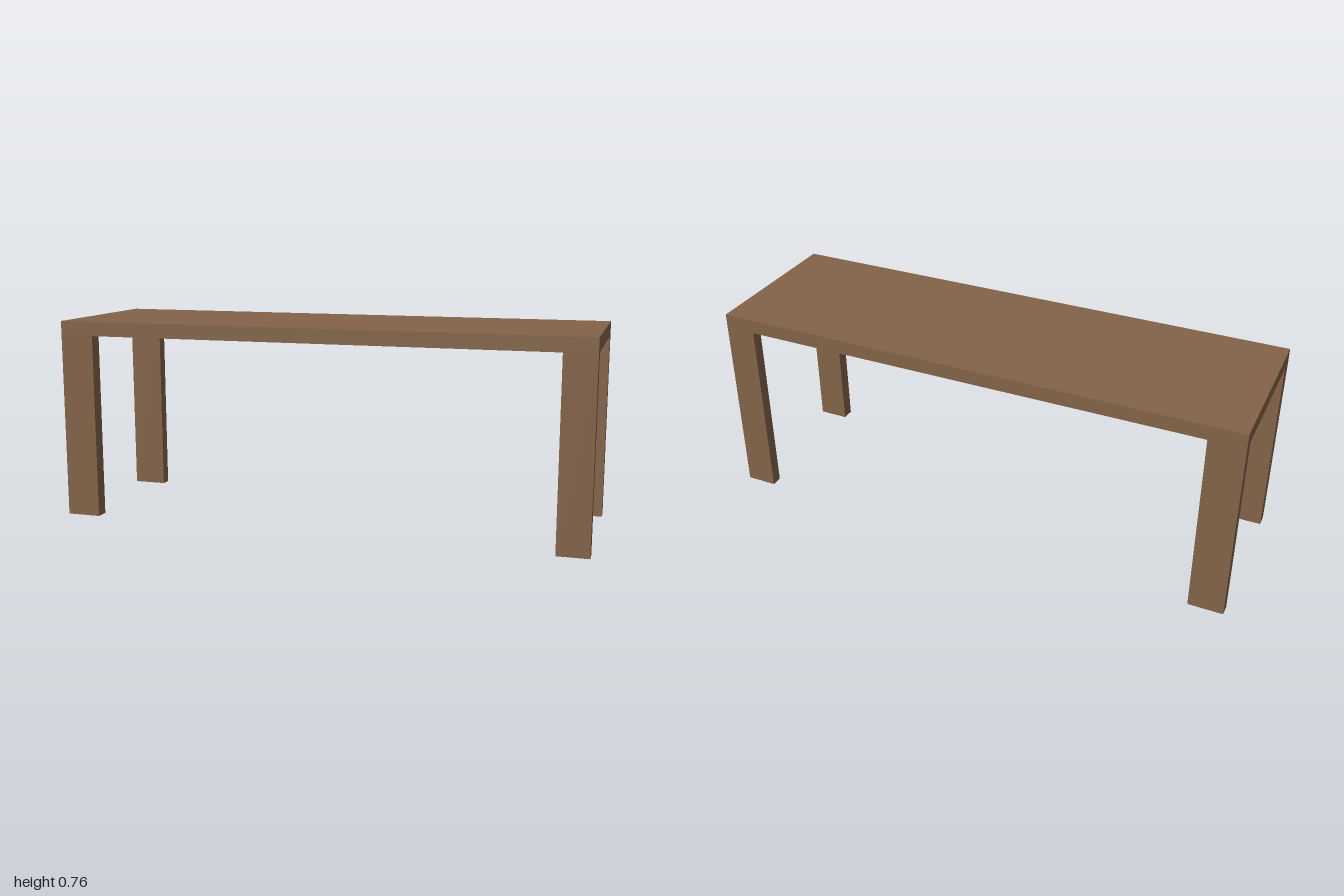
import * as THREE from 'three';

const HALF_X = 1, HALF_Z = 0.306, UNDERSIDE = 0.702, TOP = 0.756;

// Hollow leg: a box without its top and bottom faces
function legGeometry(w, h, d) {
  const geo = new THREE.BoxGeometry(w, h, d);
  const index = Array.from(geo.index.array);
  index.splice(12, 12);
  geo.setIndex(index);
  geo.clearGroups();
  return geo;
}

export function createModel() {
  const model = new THREE.Group();
  model.name = 'table';
  const wood = new THREE.MeshStandardMaterial({ color: 0x836348, side: THREE.DoubleSide });
  wood.name = 'brown wood';

  // Tabletop slab
  const top = new THREE.Mesh(
    new THREE.BoxGeometry(2 * HALF_X, TOP - UNDERSIDE, 2 * HALF_Z), wood);
  top.name = 'tabletop';
  top.position.y = (TOP + UNDERSIDE) / 2;
  model.add(top);

  // Four corner legs, flush with the edges; right and front ones are slightly thicker
  for (const [side, sx, w] of [['Right', -1, 0.13], ['Left', 1, 0.117]]) {
    for (const [end, sz, d] of [['front', 1, 0.05], ['back', -1, 0.043]]) {
      const leg = new THREE.Mesh(legGeometry(w, UNDERSIDE, d), wood);
      leg.name = `${end}${side}Leg`;
      leg.position.set(sx * (HALF_X - w / 2), UNDERSIDE / 2, sz * (HALF_Z - d / 2));
      model.add(leg);
    }
  }
  return model;
}
